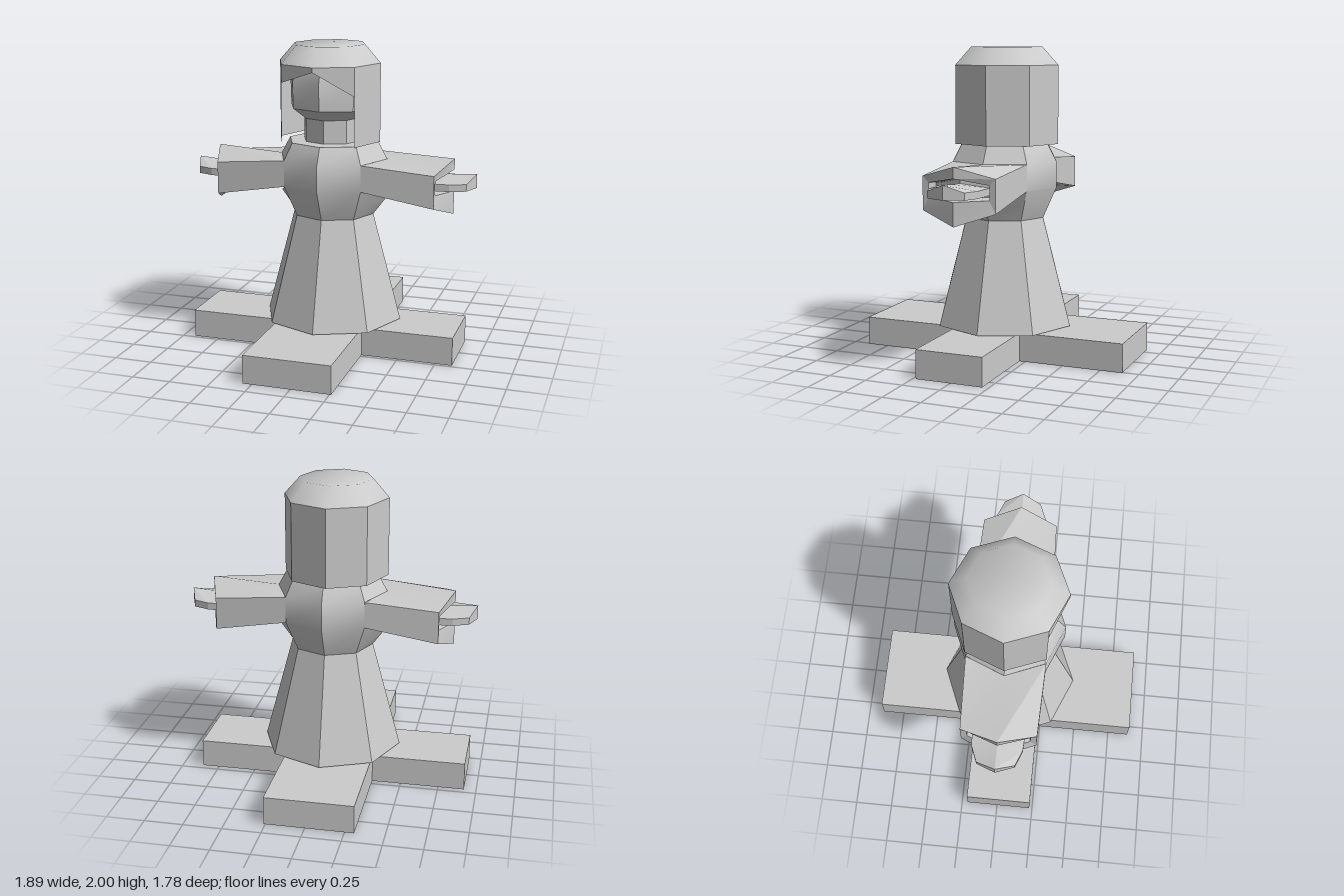
import * as THREE from 'three';
import { toCreasedNormals } from 'three/addons/utils/BufferGeometryUtils.js';

const material = new THREE.MeshStandardMaterial({ color: 0xcccccc, side: THREE.DoubleSide });

// Mesh from a list of polygons, each split as a fan
function skin(name, faces, crease = 0.6) {
  const pos = [];
  for (const f of faces) {
    for (let i = 1; i < f.length - 1; i++) pos.push(...f[0], ...f[i], ...f[i + 1]);
  }
  const geo = new THREE.BufferGeometry();
  geo.setAttribute('position', new THREE.Float32BufferAttribute(pos, 3));
  geo.computeVertexNormals();
  const mesh = new THREE.Mesh(toCreasedNormals(geo, crease), material);
  mesh.name = name;
  return mesh;
}

// Eight-sided ring, starting at the front and turning towards +x
function ring(y, rx, rz = rx, cx = 0) {
  return Array.from({ length: 8 }, (_, i) => {
    const a = (i * Math.PI) / 4;
    return [cx + rx * Math.sin(a), y, rz * Math.cos(a)];
  });
}

// Quads joining two closed loops
function band(a, b) {
  return a.map((p, i) => {
    const j = (i + 1) % a.length;
    return [p, a[j], b[j], b[i]];
  });
}

// Six-sided arm section: ridge, front top, front bottom, keel, and the mirrored back
function section(xMid, xSide, yRidge, yTop, yBottom, yKeel, z) {
  return [
    [xMid, yRidge, 0], [xSide, yTop, z], [xSide, yBottom, z],
    [xMid, yKeel, 0], [xSide, yBottom, -z], [xSide, yTop, -z],
  ];
}

function makeBase() {
  const plan = [
    [-0.31, 0.89], [0.26, 0.89], [0.26, 0.23], [0.86, 0.23], [0.86, -0.21], [0.26, -0.21],
    [0.26, -0.895], [-0.31, -0.895], [-0.31, -0.21], [-0.92, -0.21], [-0.92, 0.23], [-0.31, 0.23],
  ];
  const low = plan.map(([x, z]) => [x, 0, z]);
  const high = plan.map(([x, z]) => [x, 0.185, z]);
  const top = high.map((p, i) => [[-0.025, 0.185, 0.01], p, high[(i + 1) % high.length]]);
  return skin('crossBase', [...band(low, high), ...top]);
}

function makeTorso() {
  const waist = ring(0.9, 0.27), chest = ring(1.1, 0.36);
  const shoulder = ring(1.27, 0.36), collar = ring(1.38, 0.3);
  chest[2][1] = chest[6][1] = 1.02; // armpits dip below the sleeves
  const armHole = [1, 2, 5, 6];
  return skin('torso', [
    ...band(waist, chest),
    ...band(chest, shoulder).filter((_, i) => !armHole.includes(i)),
    ...band(shoulder, collar),
    collar,
    [chest[1], chest[2], chest[3]],
    [chest[5], chest[6], chest[7]],
  ]);
}

function makeArm(name) {
  const arm = new THREE.Group();
  arm.name = name;

  // Flared sleeve with a recessed opening
  const root = section(0.36, 0.255, 1.27, 1.27, 1.1, 1.1, 0.255);
  const end = section(0.8, 0.72, 1.3, 1.23, 1.02, 0.94, 0.24);
  const hole = section(0.8, 0.72, 1.23, 1.19, 1.1, 1.09, 0.2);
  const deep = section(0.7, 0.64, 1.22, 1.18, 1.11, 1.1, 0.19);
  arm.add(skin('sleeve', [
    ...band(root, end).filter((_, i) => i !== 2 && i !== 3),
    [root[2], root[4], end[4], end[2]],
    [end[2], end[4], end[3]],
    ...band(end, hole),
    ...band(hole, deep),
    deep,
  ], 0.3));

  // Pointed hand inside the sleeve
  const wrist = section(0.68, 0.64, 1.19, 1.165, 1.12, 1.12, 0.17);
  const knuckle = section(0.82, 0.8, 1.2, 1.165, 1.12, 1.12, 0.16);
  const tip = section(0.945, 0.9, 1.21, 1.165, 1.12, 1.12, 0.12);
  arm.add(skin('hand', [
    ...band(wrist, knuckle),
    ...band(knuckle, tip),
    [tip[0], tip[1], tip[2], tip[3]],
    [tip[0], tip[3], tip[4], tip[5]],
  ], 0.3));
  return arm;
}

function makeHead() {
  const profile = [[1.36, 0.19], [1.53, 0.19], [1.6, 0.28], [1.77, 0.285], [1.87, 0.25]];
  const rings = profile.map(([y, r]) => ring(y, r, r, -0.01));
  const faces = rings.slice(1).flatMap((r, i) => band(rings[i], r));
  return skin('head', [...faces, rings[rings.length - 1]]);
}

function makeHair() {
  const hair = new THREE.Group();
  hair.name = 'hair';
  const hem = ring(1.38, 0.338, 0.36, -0.027);
  const brow = ring(1.885, 0.338, 0.36, -0.027);
  const crown = ring(2, 0.235, 0.25, -0.027);

  // The two front panels are cut short to a slanted fringe
  const cut = (i, y) => [hem[i][0], y, hem[i][2]];
  const left = cut(1, 1.7), middle = cut(0, 1.855), right = cut(7, 1.77);
  hair.add(skin('hairPanels', [
    ...band(hem, brow).slice(1, 7),
    [middle, left, brow[1], brow[0]],
    [right, middle, brow[0], brow[7]],
  ]));
  hair.add(skin('hairCap', [...band(brow, crown), crown], 0.95));
  return hair;
}

export function createModel() {
  const model = new THREE.Group();
  model.name = 'figure';
  const leftArm = makeArm('leftArm');
  const rightArm = makeArm('rightArm');
  rightArm.rotation.y = Math.PI;
  model.add(
    makeBase(),
    skin('skirt', band(ring(0.195, 0.46), ring(0.9, 0.27))),
    makeTorso(),
    leftArm,
    rightArm,
    makeHead(),
    makeHair(),
  );
  return model;
}
